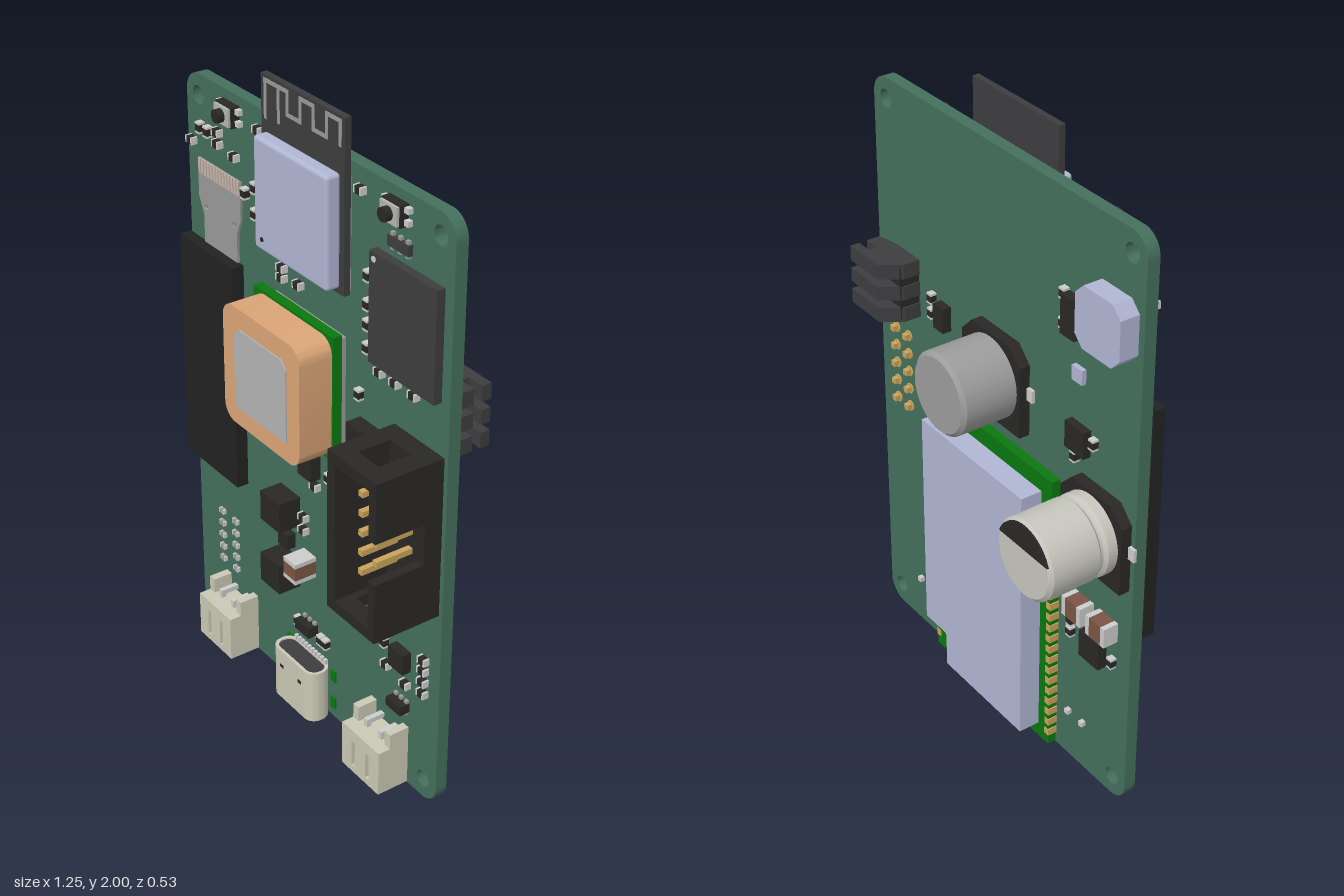
import * as THREE from 'three';
import { RoundedBoxGeometry } from 'three/addons/geometries/RoundedBoxGeometry.js';
import { toCreasedNormals } from 'three/addons/utils/BufferGeometryUtils.js';

const C = { board: 0x44705c, green: 0x0a780f, black: 0x2a2826, dark: 0x3d3d3f, lilac: 0xb0b5d3, orange: 0xdba577,
  gold: 0xc9a35a, ivory: 0xcac8b4, brown: 0x7a5546, grey: 0x9a9a9a, silver: 0xcccccc };
const mats = {};
const mat = (c) => (mats[c] ??= new THREE.MeshStandardMaterial({ color: c }));
const F = 0.034, B = -0.005; // board front and back faces

export function createModel() {
  const root = new THREE.Group();
  const add = (name, geo, color, parent = root) => {
    const m = new THREE.Mesh(geo, mat(color));
    m.name = name;
    parent.add(m);
    return m;
  };
  const group = (name) => {
    const g = new THREE.Group();
    g.name = name;
    root.add(g);
    return g;
  };
  // box given by its limits on each axis
  const box = (name, color, x0, x1, y0, y1, z0, z1, parent) => add(name,
    new THREE.BoxGeometry(x1 - x0, y1 - y0, z1 - z0).translate((x0 + x1) / 2, (y0 + y1) / 2, (z0 + z1) / 2), color, parent);
  const roundBox = (name, color, x0, x1, y0, y1, z0, z1, r) => add(name,
    new RoundedBoxGeometry(x1 - x0, y1 - y0, z1 - z0, 3, r).translate((x0 + x1) / 2, (y0 + y1) / 2, (z0 + z1) / 2), color);
  const poly = (pts) => new THREE.Shape(pts.map((p) => new THREE.Vector2(p[0], p[1])));
  const roundRect = (x0, x1, y0, y1, r) => {
    const s = new THREE.Shape();
    s.absarc(x1 - r, y1 - r, r, 0, Math.PI / 2);
    s.absarc(x0 + r, y1 - r, r, Math.PI / 2, Math.PI);
    s.absarc(x0 + r, y0 + r, r, Math.PI, Math.PI * 1.5);
    s.absarc(x1 - r, y0 + r, r, Math.PI * 1.5, Math.PI * 2);
    return s;
  };
  const slab = (shape, z0, z1) => toCreasedNormals(new THREE.ExtrudeGeometry(shape,
    { depth: z1 - z0, bevelEnabled: false, curveSegments: 12 }).translate(0, 0, z0), 0.6);
  const disc = (name, color, x, y, r, z0, z1, parent) => add(name,
    new THREE.CylinderGeometry(r, r, z1 - z0, 24).rotateX(Math.PI / 2).translate(x, y, (z0 + z1) / 2), color, parent);
  const hole = (x, y, r) => new THREE.Path().absarc(x, y, r, 0, Math.PI * 2, true);

  // circuit board with four mounting holes
  const outline = roundRect(-0.62, 0.62, 0.005, 1.875, 0.065);
  for (const x of [-0.56, 0.56]) for (const y of [0.07, 1.81]) outline.holes.push(hole(x, y, 0.028));
  add('circuitBoard', slab(outline, B, F), C.board);

  // radio module with a meandering antenna
  box('radioBoard', C.dark, -0.195, 0.19, 1.49, 2, 0.04, 0.06);
  box('radioPads', C.grey, -0.19, 0.185, 1.5, 1.83, F, 0.04);
  roundBox('radioShield', C.lilac, -0.175, 0.17, 1.505, 1.84, 0.055, 0.104, 0.012);
  disc('radioDot', C.black, -0.135, 1.542, 0.007, 0.1, 0.106);
  const trace = [[-0.175, 1.88], [-0.175, 1.985], [-0.07, 1.985], [-0.07, 1.92], [-0.01, 1.92], [-0.01, 1.985], [0.05, 1.985],
    [0.05, 1.92], [0.11, 1.92], [0.11, 1.985], [0.17, 1.985], [0.17, 1.92]];
  const antenna = group('antennaTrace'), t = 0.006;
  for (let i = 1; i < trace.length; i++) {
    const [a, b] = [trace[i - 1], trace[i]];
    box('trace', C.grey, Math.min(a[0], b[0]) - t, Math.max(a[0], b[0]) + t,
      Math.min(a[1], b[1]) - t, Math.max(a[1], b[1]) + t, 0.059, 0.0615, antenna);
  }
  box('feed', C.grey, -0.118, -0.106, 1.88, 1.985, 0.059, 0.0615, antenna);

  // memory chip and ceramic patch antenna
  box('memoryChip', C.dark, 0.3, 0.585, 1.345, 1.675, F, 0.06);
  disc('chipDot', C.silver, 0.32, 1.655, 0.009, 0.055, 0.062);
  box('patchFoot', C.grey, -0.17, 0.165, 1.01, 1.35, F, 0.065);
  box('patchBoard', C.green, -0.197, 0.19, 0.983, 1.375, 0.065, 0.095);
  add('patchCeramic', slab(roundRect(-0.19, 0.185, 0.99, 1.367, 0.05), 0.093, 0.203), C.orange);
  add('patchPlate', slab(poly([[-0.13, 1.05], [0.125, 1.05], [0.125, 1.28], [0.1, 1.305], [-0.105, 1.305], [-0.13, 1.28]]),
    0.2, 0.207), 0xb4b4b4);

  // display panel with its ribbon cable
  box('displayPanel', 0x222222, -0.622, -0.338, 0.612, 1.36, 0.036, 0.075);
  const ribbon = poly([[-0.535, 1.34], [-0.36, 1.34], [-0.36, 1.45], [-0.34, 1.5], [-0.34, 1.62], [-0.56, 1.62], [-0.56, 1.5], [-0.535, 1.45]]);
  ribbon.holes.push(hole(-0.522, 1.475, 0.009), hole(-0.374, 1.475, 0.009));
  add('displayRibbon', slab(ribbon, F, 0.042), C.grey);
  const contacts = group('ribbonContacts');
  for (let i = 0; i < 14; i++) box('contact', 0xc9b5a8, -0.556 + i * 0.0155, -0.546 + i * 0.0155, 1.575, 1.622, 0.04, 0.044, contacts);

  // shrouded pin header: windowed end walls, notched side wall
  const header = group('pinHeader');
  const hb = (...a) => box('shroud', C.black, ...a, header);
  hb(0.4, 0.615, 0.69, 1.195, 0.042, 0.085);
  hb(0.4, 0.435, 0.69, 1.195, 0.08, 0.262);
  for (const [y0, y1] of [[0.69, 0.88], [1.01, 1.195]]) hb(0.585, 0.615, y0, y1, 0.08, 0.262);
  hb(0.585, 0.615, 0.87, 1.02, 0.08, 0.1);
  for (const y of [0.69, 1.16]) {
    hb(0.43, 0.46, y, y + 0.035, 0.08, 0.262);
    hb(0.55, 0.59, y, y + 0.035, 0.08, 0.262);
    hb(0.45, 0.56, y, y + 0.035, 0.205, 0.262);
    hb(0.45, 0.56, y, y + 0.035, 0.08, 0.1);
  }
  for (const x of [0.472, 0.537]) for (let i = 0; i < 5; i++) {
    const y = 0.82 + i * 0.0625;
    box('pin', C.gold, x - 0.009, x + 0.009, y - 0.009, y + 0.009, -0.025, 0.205, header);
    disc('solderRing', C.gold, x, y, 0.017, -0.009, B, header);
  }

  // push buttons
  for (const x of [-0.385, 0.39]) {
    const g = group('pushButton');
    box('base', C.black, x - 0.04, x + 0.04, 1.784, 1.846, F, 0.062, g);
    box('cover', 0xb5b5b0, x - 0.036, x + 0.036, 1.788, 1.842, 0.06, 0.07, g);
    for (const s of [-1, 1]) for (const y of [1.79, 1.825]) box('leg', C.silver, x + s * 0.047 - 0.01, x + s * 0.047 + 0.01, y, y + 0.016, F, 0.05, g);
    disc('plunger', C.black, x, 1.815, 0.02, 0.07, 0.09, g);
  }

  // two-pin wire connectors, open at the bottom edge
  for (const x of [-0.388, 0.396]) {
    const g = group('wireConnector');
    const p = (...a) => box('housing', C.ivory, x + a[0], x + a[1], ...a.slice(2), g);
    p(-0.09, 0.09, 0.008, 0.16, F, 0.05);
    p(-0.09, 0.09, 0.13, 0.16, F, 0.13);
    for (const s of [-1, 1]) {
      p(s * 0.08 - 0.01, s * 0.08 + 0.01, 0.008, 0.16, F, 0.14);
      p(s * 0.077 - 0.013, s * 0.077 + 0.013, 0.15, 0.21, F, 0.1);
      box('pin', C.silver, x + s * 0.034 - 0.008, x + s * 0.034 + 0.008, 0.03, 0.185, 0.08, 0.096, g);
      box('pinFoot', C.silver, x + s * 0.034 - 0.008, x + s * 0.034 + 0.008, 0.17, 0.186, -0.02, 0.096, g);
    }
    const face = poly([[x - 0.085, 0.008], [x + 0.085, 0.008], [x + 0.085, 0.16], [x - 0.085, 0.16]]);
    for (const s of [-0.034, 0.034]) face.holes.push(new THREE.Path(poly([[x + s - 0.008, 0.03], [x + s - 0.008, 0.12], [x + s + 0.008, 0.12], [x + s + 0.008, 0.03]]).getPoints()));
    add('frontPlate', slab(face, 0.122, 0.14), C.ivory, g);
  }

  // oval charging socket with an inner tongue
  const socket = group('chargingSocket');
  const shell = roundRect(-0.105, 0.11, -0.115, -0.035, 0.036);
  shell.holes.push(roundRect(-0.095, 0.1, -0.105, -0.045, 0.028));
  add('shell', slab(shell, 0.005, 0.185).rotateX(-Math.PI / 2), C.ivory, socket);
  add('backPlate', slab(roundRect(-0.103, 0.108, -0.112, -0.036, 0.034), 0.14, 0.18).rotateX(-Math.PI / 2), C.dark, socket);
  box('tongue', C.black, -0.065, 0.07, 0.03, 0.15, 0.066, 0.084, socket);
  for (const x of [-0.112, 0.117]) for (const y of [0.06, 0.16]) box('tab', C.green, x - 0.012, x + 0.012, y - 0.02, y + 0.02, F, 0.04, socket);
  for (const x of [-0.045, 0.05]) box('spring', C.black, x - 0.008, x + 0.008, 0.125, 0.135, 0.113, 0.117, socket);
  for (let i = 0; i < 10; i++) box('contact', C.silver, -0.08 + i * 0.017, -0.07 + i * 0.017, 0.18, 0.2, F, 0.045, socket);

  // small two-terminal parts: centre x, y; v = upright, s = side of the board
  const passive = (x, y, v, s = 1, w = 0.034, h = 0.022, d = 0.02, color = C.black) => {
    const g = group('smallPart');
    g.position.set(x, y, s > 0 ? F : B);
    if (v) g.rotation.z = Math.PI / 2;
    box('body', color, -w * 0.3, w * 0.3, -h / 2, h / 2, Math.min(0, s * d), Math.max(0, s * d), g);
    for (const e of [-1, 1]) box('terminal', C.silver, e * w * 0.4 - w * 0.1, e * w * 0.4 + w * 0.1, -h / 2, h / 2, Math.min(0, s * d), Math.max(0, s * d), g);
  };
  const flat = [[-0.24, 1.815], [-0.45, 1.735], [-0.45, 1.7], [-0.59, 1.665], [-0.365, 1.69], [0.235, 1.815], [0.33, 1.32], [0.4, 1.32],
    [0.48, 1.32], [-0.13, 1.44], [-0.13, 1.41], [-0.05, 1.42], [-0.24, 1.23], [-0.24, 1.18], [-0.24, 1.14], [-0.085, 0.96], [-0.085, 0.925],
    [-0.185, 0.665], [-0.185, 0.605], [-0.03, 0.66], [-0.03, 0.615], [0.42, 0.565], [0.41, 0.525], [0.385, 0.38], [0.475, 0.365],
    [0.555, 0.5], [0.555, 0.465], [0.555, 0.425], [0.555, 0.385], [0.03, 0.8]];
  const upright = [[-0.54, 1.72], [-0.5, 1.72], [-0.26, 1.635], [-0.26, 1.555], [-0.31, 1.6], [0.275, 1.585], [0.275, 1.5], [0.275, 1.44],
    [0.275, 1.37], [0.24, 1.21], [-0.065, 0.865], [0.1, 0.865], [0.215, 0.685], [0.34, 0.455], [0.375, 0.455], [-0.06, 0.265], [0.06, 0.265], [0.085, 0.265]];
  flat.forEach(([x, y]) => passive(x, y, false));
  upright.forEach(([x, y]) => passive(x, y, true));
  for (const [x, y] of [[0.275, 0.76], [0.275, 0.645], [-0.01, 0.505]]) passive(x, y, true, 1, 0.072, 0.062, 0.075, C.brown);
  for (const x of [-0.485, -0.41]) for (let i = 0; i < 5; i++) passive(x, 0.255 + i * 0.045, false, 1, 0.026, 0.016, 0.012, C.grey);

  // front chips: x, y, width, height, thickness
  for (const [x, y, w, h, d] of [[-0.11, 0.66, 0.1, 0.1, 0.075], [-0.11, 0.44, 0.1, 0.1, 0.078], [-0.11, 0.543, 0.05, 0.05, 0.03],
    [0.012, 0.866, 0.065, 0.075, 0.035], [0.17, 0.7, 0.09, 0.09, 0.03], [0.278, 1.073, 0.085, 0.122, 0.05], [0.455, 0.447, 0.068, 0.068, 0.03],
    [0.455, 0.283, 0.068, 0.03, 0.035], [-0.005, 0.278, 0.072, 0.035, 0.035], [0.405, 1.724, 0.09, 0.03, 0.015]]) {
    box('chip', w === 0.09 ? C.dark : C.black, x - w / 2, x + w / 2, y - h / 2, y + h / 2, F, F + d);
    if (h < 0.04) for (const e of [-1, 0, 1]) box('chipLegs', C.grey, x + e * w * 0.36 - 0.006, x + e * w * 0.36 + 0.006, y - h / 2 - 0.01, y + h / 2 + 0.01, F, F + 0.01);
  }

  // cellular module on the back: notched shield, edge pads, coaxial jack
  box('cellBoard', C.green, -0.288, 0.302, 0.01, 0.975, -0.035, B);
  add('cellShield', slab(poly([[-0.24, 0.06], [0.15, 0.06], [0.15, 0.18], [0.26, 0.18], [0.26, 0.92], [-0.24, 0.92]]), -0.105, -0.033), C.lilac);
  const pads = group('edgePads');
  for (let i = 0; i < 22; i++) for (const x of [-0.282, 0.296]) box('pad', C.gold, x - 0.01, x + 0.01, 0.045 + i * 0.04, 0.068 + i * 0.04, -0.037, B, pads);
  box('jackBase', C.silver, 0.18, 0.24, 0.08, 0.14, -0.045, -0.033);
  add('jackRing', new THREE.TorusGeometry(0.018, 0.006, 8, 20).translate(0.21, 0.11, -0.05), C.silver);
  disc('jackPin', C.gold, 0.21, 0.11, 0.006, -0.055, -0.04);

  // can capacitors on chamfered bases
  const can = (x, y, r, z, color, groove) => {
    const g = group('canCapacitor'), a = r + 0.012, c = 0.05;
    add('base', slab(poly([[x - a, y - a], [x + a, y - a], [x + a, y + a - c], [x + a - c, y + a], [x - a + c, y + a], [x - a, y + a - c]]), -0.04, B), C.black, g);
    for (const s of [-1, 1]) box('terminal', C.silver, x + s * (a + 0.01) - 0.015, x + s * (a + 0.01) + 0.015, y - 0.02, y + 0.02, -0.015, B, g);
    const n = groove ? 0.01 : 0, prof = [[r, 0.03], [r, 0.07], [r - n, 0.08], [r - n, 0.088], [r, 0.098], [r, z - 0.012], [r - 0.012, z], [0, z]];
    add('can', toCreasedNormals(new THREE.LatheGeometry(prof.map((p) => new THREE.Vector2(...p)), 40), 0.5)
      .rotateX(-Math.PI / 2).translate(x, y, 0), color, g);
  };
  can(0, 1.182, 0.127, 0.218, 0x9c9c9c, false);
  can(-0.468, 0.918, 0.123, 0.264, 0xc6c6bd, true);
  const mark = new THREE.Shape().absarc(-0.468, 0.918, 0.115, 0.35, Math.PI - 0.35);
  add('polarityMark', slab(mark, -0.266, -0.255), C.black);

  // power inductor with cut corners
  const ix = -0.505, iy = 1.592, o = 0.093, k = 0.06;
  add('inductor', slab(poly([[ix - k, iy - o], [ix + k, iy - o], [ix + o, iy - k], [ix + o, iy + k], [ix + k, iy + o],
    [ix - k, iy + o], [ix - o, iy + k], [ix - o, iy - k]]), -0.066, B), C.lilac);

  // sideways plug on the back: three forked ribs on a solid heel
  const rib = poly([[0.405, B], [0.405, -0.06], [0.45, -0.123], [0.595, -0.123], [0.595, -0.092], [0.54, -0.092], [0.54, -0.065],
    [0.595, -0.065], [0.595, -0.02], [0.52, B]]);
  const plug = group('sidePlug');
  for (const [y0, y1] of [[1.168, 1.215], [1.24, 1.285], [1.31, 1.358]]) add('rib', slab(rib, -y1, -y0).rotateX(Math.PI / 2).scale(1, -1, 1).scale(1, -1, -1)
    .scale(1, -1, -1).scale(1, -1, 1), C.dark, plug).scale.set(1, 1, 1);
  box('heel', C.black, 0.41, 0.48, 1.175, 1.35, -0.07, B, plug);
  box('floor', C.black, 0.45, 0.58, 1.175, 1.35, -0.03, B, plug);

  // remaining small parts on the back: x, y, width, height, thickness
  for (const [x, y, w, h, d] of [[-0.375, 1.165, 0.085, 0.085, 0.025], [-0.34, 1.53, 0.06, 0.12, 0.03], [-0.47, 0.5, 0.09, 0.09, 0.03], [0.27, 1.235, 0.05, 0.08, 0.03]])
    box('chip', C.black, x - w / 2, x + w / 2, y - h / 2, y + h / 2, B - d, B);
  box('sensor', C.lilac, -0.39, -0.345, 1.34, 1.385, -0.02, B);
  for (const x of [-0.41, -0.52]) passive(x, 0.61, false, -1, 0.085, 0.065, 0.05, C.brown);
  for (const [x, y] of [[-0.36, 0.53], [-0.36, 0.49], [-0.36, 1.1], [-0.44, 1.18], [-0.3, 1.58], [-0.3, 1.49], [0.33, 1.22], [0.33, 1.27], [-0.55, 0.5]]) passive(x, y, true, -1);

  return root;
}
